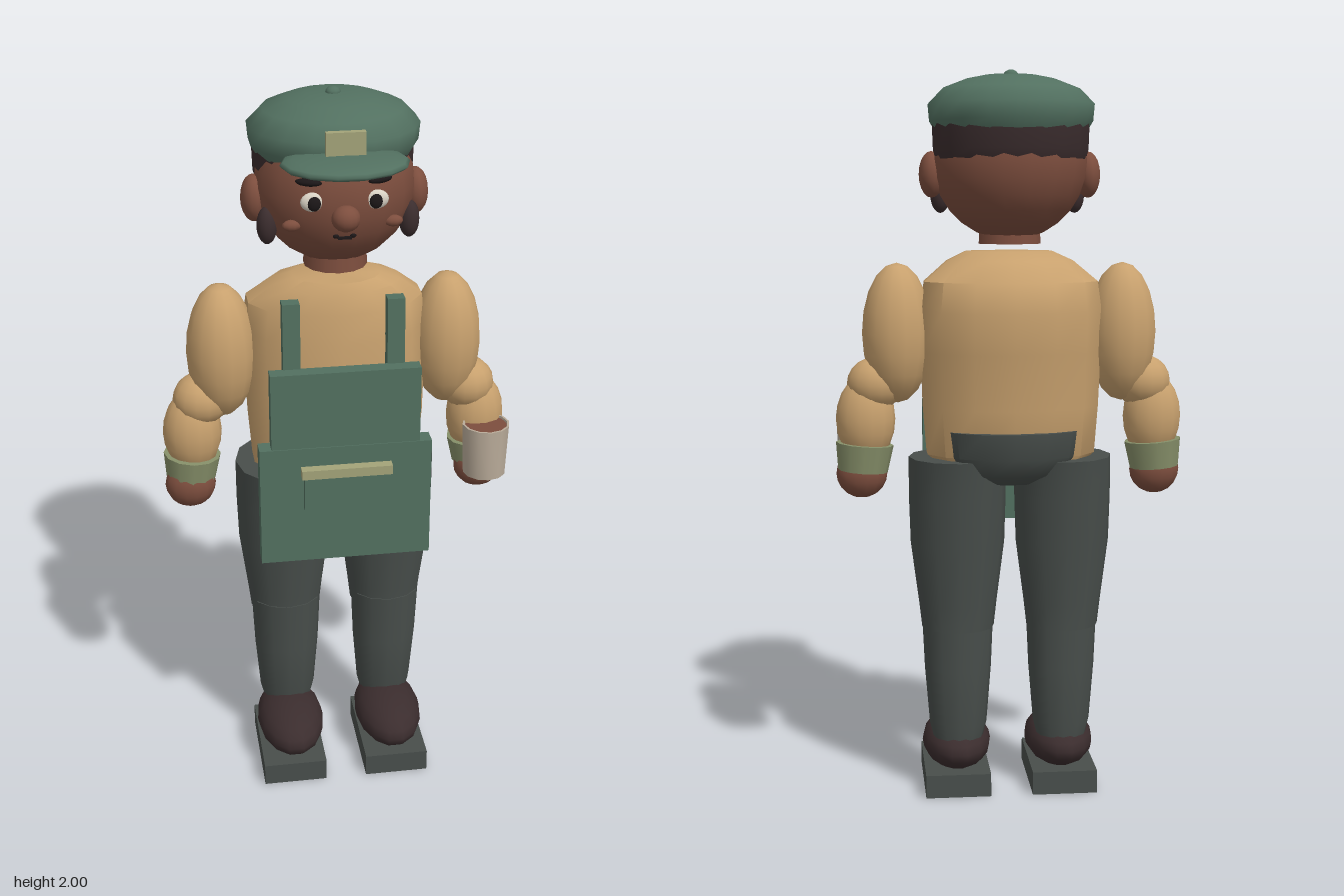
import * as THREE from 'three';
import { toCreasedNormals } from 'three/addons/utils/BufferGeometryUtils.js';

const mat = (name, color) => new THREE.MeshStandardMaterial({ name, color });

// Closed body from elliptical rings [y, radiusX, radiusZ, centreZ], listed bottom to top
function loft(rings, seg = 12, crease = 0.7) {
  const pos = [], idx = [];
  for (const [y, rx, rz, cz] of rings) {
    for (let j = 0; j < seg; j++) {
      const a = (j / seg) * Math.PI * 2;
      pos.push(Math.sin(a) * rx, y, cz + Math.cos(a) * rz);
    }
  }
  const last = rings.length - 1, bottom = rings.length * seg, top = bottom + 1;
  pos.push(0, rings[0][0], rings[0][3], 0, rings[last][0], rings[last][3]);
  for (let j = 0; j < seg; j++) {
    const k = (j + 1) % seg;
    for (let i = 0; i < last; i++) {
      const a = i * seg + j, b = i * seg + k;
      idx.push(a, b, b + seg, a, b + seg, a + seg);
    }
    idx.push(bottom, k, j, top, last * seg + j, last * seg + k);
  }
  const g = new THREE.BufferGeometry();
  g.setAttribute('position', new THREE.Float32BufferAttribute(pos, 3));
  g.setIndex(idx);
  return toCreasedNormals(g, crease);
}

export function createModel() {
  const model = new THREE.Group();
  model.name = 'workerFigure';

  const skin = mat('skin', 0x7d4e3e);
  const shirt = mat('shirt tan', 0xc8a16e);
  const green = mat('apron green', 0x527060);
  const grey = mat('trouser grey', 0x484e4b);
  const brown = mat('dark brown', 0x3b2d2e);
  const cuffGreen = mat('cuff green', 0x87906a);
  const khaki = mat('khaki trim', 0xa3a379);
  const cream = mat('mug cream', 0xbaac9a);
  const white = mat('eye white', 0xd9d2c4);
  const black = mat('pupil black', 0x1c1718);

  const add = (name, geo, m, p = [0, 0, 0], parent = model) => {
    const mesh = new THREE.Mesh(geo, m);
    mesh.name = name;
    mesh.position.set(...p);
    parent.add(mesh);
    return mesh;
  };
  const ball = (name, m, p, r, parent, seg = 14) =>
    add(name, new THREE.SphereGeometry(1, seg, Math.max(8, seg - 4)).scale(...r), m, p, parent);
  const box = (name, m, p, s, parent) => add(name, new THREE.BoxGeometry(...s), m, p, parent);
  const group = (name) => {
    const g = new THREE.Group();
    g.name = name;
    model.add(g);
    return g;
  };

  // Torso and hips
  add('torso', loft([
    [0.92, 0.17, 0.12, -0.05], [0.97, 0.235, 0.155, -0.04], [1.1, 0.245, 0.165, -0.04],
    [1.25, 0.25, 0.172, -0.05], [1.36, 0.25, 0.178, -0.06], [1.44, 0.24, 0.16, -0.055],
    [1.495, 0.175, 0.125, -0.03], [1.52, 0.12, 0.09, -0.01],
  ], 14), shirt);
  add('hips', loft([
    [0.89, 0.09, 0.06, -0.07], [0.92, 0.15, 0.11, -0.08],
    [0.97, 0.19, 0.137, -0.083], [1.04, 0.2, 0.14, -0.083],
  ], 14), grey);

  // Head
  const head = group('head');
  ball('skull', skin, [0, 1.76, -0.045], [0.21, 0.21, 0.2], head, 18);
  add('neck', new THREE.CylinderGeometry(0.08, 0.085, 0.08, 14), skin, [0, 1.58, -0.03], head);
  add('hair', loft([
    [1.765, 0.202, 0.172, -0.068], [1.79, 0.209, 0.182, -0.069], [1.87, 0.212, 0.184, -0.069],
  ], 20), brown, [0, 0, 0], head);
  ball('nose', skin, [0, 1.725, 0.155], [0.037, 0.034, 0.035], head);
  box('mouth', black, [0, 1.668, 0.138], [0.035, 0.006, 0.008], head);
  for (const s of [-1, 1]) {
    ball('ear', skin, [s * 0.212, 1.725, -0.038], [0.034, 0.062, 0.048], head);
    ball('sideburn', brown, [s * 0.185, 1.672, 0.028], [0.027, 0.05, 0.029], head);
    ball('cheek', skin, [s * 0.13, 1.695, 0.103], [0.025, 0.015, 0.015], head, 10);
    ball('eye', white, [s * 0.08, 1.765, 0.134], [0.032, 0.025, 0.014], head);
    ball('pupil', black, [s * 0.078, 1.763, 0.145], [0.017, 0.019, 0.009], head, 10);
    const brow = ball('eyebrow', black, [s * 0.09, 1.815, 0.13], [0.035, 0.01, 0.014], head, 10);
    brow.rotation.y = s * 0.4;
    ball('mouthCorner', black, [s * 0.022, 1.672, 0.134], [0.008, 0.006, 0.006], head, 8);
  }

  // Cap
  const cap = group('cap');
  add('capCrown', loft([
    [1.84, 0.205, 0.187, -0.065], [1.865, 0.22, 0.2, -0.065], [1.91, 0.224, 0.205, -0.065],
    [1.95, 0.185, 0.168, -0.065], [1.975, 0.12, 0.11, -0.065], [1.985, 0.07, 0.065, -0.065],
  ], 18, 1.0), green, [0, 0, 0], cap);
  ball('capButton', green, [0, 1.985, -0.065], [0.02, 0.015, 0.02], cap, 10);
  ball('capBrim', green, [0, 1.863, 0.138], [0.163, 0.025, 0.127], cap, 14);
  box('capBadge', khaki, [0, 1.915, 0.148], [0.1, 0.06, 0.018], cap);

  // Arms: stacked rounded sleeves, cuff and hand
  for (const s of [-1, 1]) {
    const arm = group(s > 0 ? 'leftArm' : 'rightArm');
    ball('upperSleeve', shirt, [s * 0.308, 1.3, -0.042], [0.095, 0.19, 0.102], arm);
    ball('elbow', shirt, [s * 0.368, 1.162, -0.037], [0.078, 0.073, 0.074], arm);
    ball('forearm', shirt, [s * 0.396, 1.065, -0.036], [0.081, 0.12, 0.074], arm);
    const cuff = add('cuff', new THREE.CylinderGeometry(0.079, 0.068, 0.075, 12), cuffGreen,
      [s * 0.402, 0.96, -0.036], arm);
    cuff.rotation.z = s * 0.08;
    ball('hand', skin, [s * 0.408, 0.912, -0.018], [0.07, 0.068, 0.055], arm);
  }

  // Mug held in the left hand, nearly full
  const mug = group('mug');
  const mugProfile = [[0, 0.92], [0.06, 0.92], [0.066, 1.07], [0.06, 1.07], [0.058, 1.055]]
    .map(([r, y]) => new THREE.Vector2(r, y));
  add('mugWall', toCreasedNormals(new THREE.LatheGeometry(mugProfile, 12), 0.7), cream, [0.411, 0, 0.046], mug);
  add('drink', new THREE.CylinderGeometry(0.059, 0.059, 0.008, 12), skin, [0.411, 1.06, 0.046], mug);

  // Apron
  const apron = group('apron');
  box('bib', green, [0, 1.19, 0.15], [0.4, 0.24, 0.04], apron);
  box('skirt', green, [0, 0.922, 0.148], [0.465, 0.345, 0.05], apron);
  box('pocket', green, [0, 0.965, 0.182], [0.23, 0.1, 0.025], apron);
  box('pocketFlap', khaki, [0, 1.028, 0.185], [0.245, 0.026, 0.032], apron);
  for (const s of [-1, 1]) {
    const strap = box('strap', green, [s * 0.138, 1.37, 0.113], [0.046, 0.24, 0.038], apron);
    strap.rotation.x = -0.03;
  }

  // Legs
  for (const s of [-1, 1]) {
    const leg = group(s > 0 ? 'leftLeg' : 'rightLeg');
    leg.position.x = s * 0.146;
    add('thigh', loft([
      [0.48, 0.1, 0.095, -0.042], [0.55, 0.108, 0.1, -0.042], [0.72, 0.13, 0.122, -0.04],
      [0.85, 0.134, 0.135, -0.04], [0.96, 0.134, 0.15, -0.04],
    ]), grey, [0, 0, 0], leg);
    add('shin', loft([
      [0.16, 0.07, 0.062, -0.035], [0.2, 0.08, 0.072, -0.032],
      [0.36, 0.093, 0.08, -0.03], [0.52, 0.1, 0.086, -0.028],
    ]), grey, [0, 0, 0], leg);
    ball('shoe', brown, [s * 0.001, 0.125, 0.042], [0.097, 0.073, 0.167], leg);
    box('sole', grey, [s * 0.004, 0.0325, 0.045], [0.182, 0.065, 0.3], leg);
  }

  return model;
}
